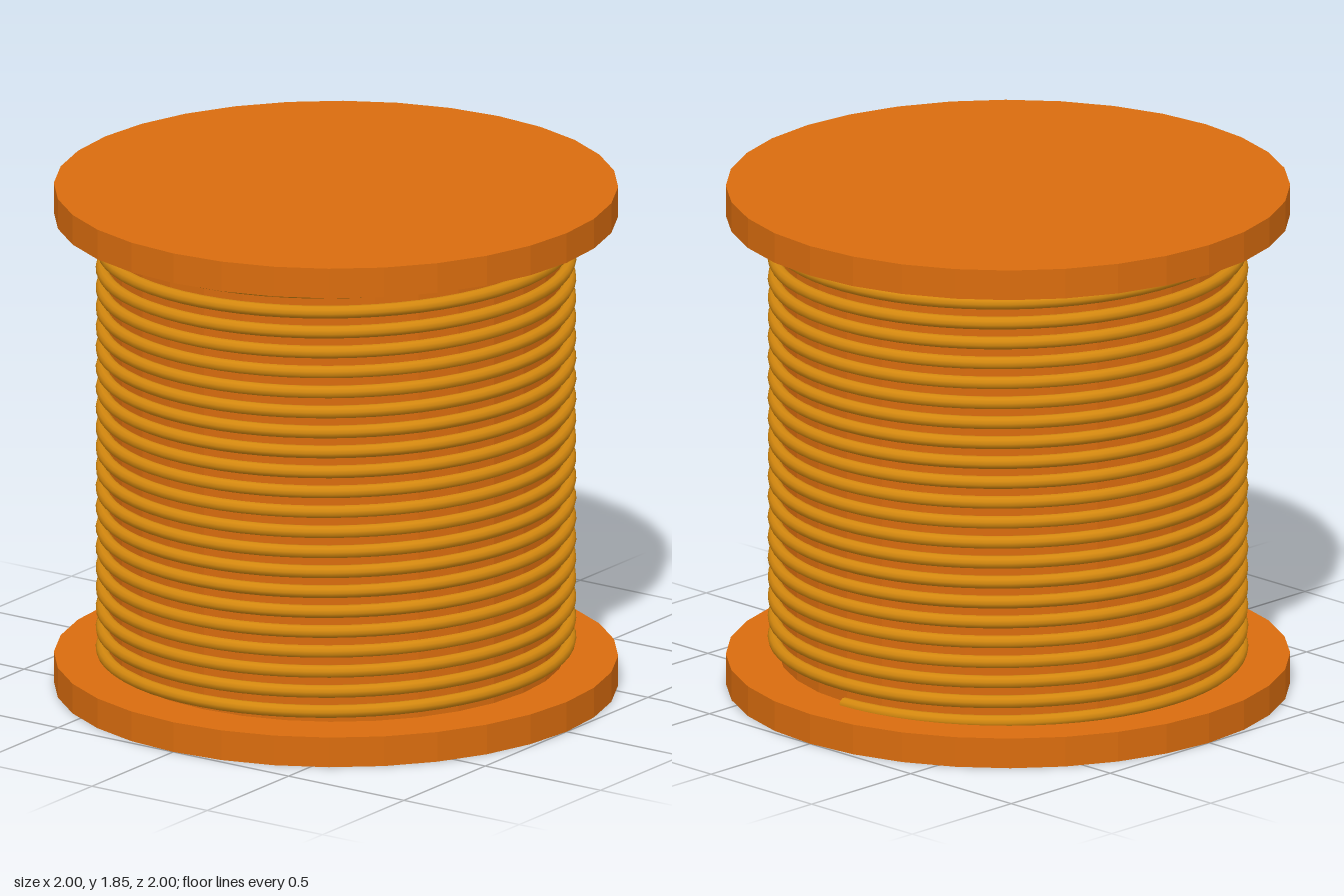
import * as THREE from 'three';

const FLANGE_H = 0.11, HEIGHT = 1.85, SIDES = 32;
const TURNS = 22, COIL_R = 0.829, WIRE_R = 0.023;

// Helix climbing from the bottom flange to the top one, starting at +x
class Helix extends THREE.Curve {
  getPoint(t, target = new THREE.Vector3()) {
    const a = t * TURNS * Math.PI * 2;
    const y = FLANGE_H + t * (HEIGHT - 2 * FLANGE_H);
    return target.set(COIL_R * Math.cos(a), y, -COIL_R * Math.sin(a));
  }
  // Evenly wound, so the parameter is already proportional to length
  getPointAt(t, target) { return this.getPoint(t, target); }
  getTangentAt(t, target = new THREE.Vector3()) {
    const a = t * TURNS * Math.PI * 2;
    const rise = (HEIGHT - 2 * FLANGE_H) / (TURNS * Math.PI * 2);
    return target.set(-COIL_R * Math.sin(a), rise, -COIL_R * Math.cos(a)).normalize();
  }
}

export function createModel() {
  const group = new THREE.Group();
  const wood = new THREE.MeshStandardMaterial({ color: 0xd96c0e, flatShading: true });
  const wire = new THREE.MeshStandardMaterial({ color: 0xd4880f });

  const add = (name, geometry, material) => {
    const mesh = new THREE.Mesh(geometry, material);
    mesh.name = name;
    group.add(mesh);
    return mesh;
  };
  const disc = (name, radius, height, y) => {
    add(name, new THREE.CylinderGeometry(radius, radius, height, SIDES), wood).position.y = y;
  };

  // Spool body: two flanges and the core between them
  disc('bottomFlange', 1, FLANGE_H, FLANGE_H / 2);
  disc('topFlange', 1, FLANGE_H, HEIGHT - FLANGE_H / 2);
  disc('core', 0.812, HEIGHT - 2 * FLANGE_H, HEIGHT / 2);

  // Wound wire with closed ends
  const helix = new Helix();
  add('wireCoil', new THREE.TubeGeometry(helix, TURNS * 64, WIRE_R, 10), wire);
  for (const [name, t, dir] of [['wireStart', 0, -1], ['wireEnd', 1, 1]]) {
    const cap = add(name, new THREE.CircleGeometry(WIRE_R, 10), wire);
    cap.position.copy(helix.getPoint(t));
    cap.quaternion.setFromUnitVectors(
      new THREE.Vector3(0, 0, 1), helix.getTangentAt(t).multiplyScalar(dir));
  }
  return group;
}
